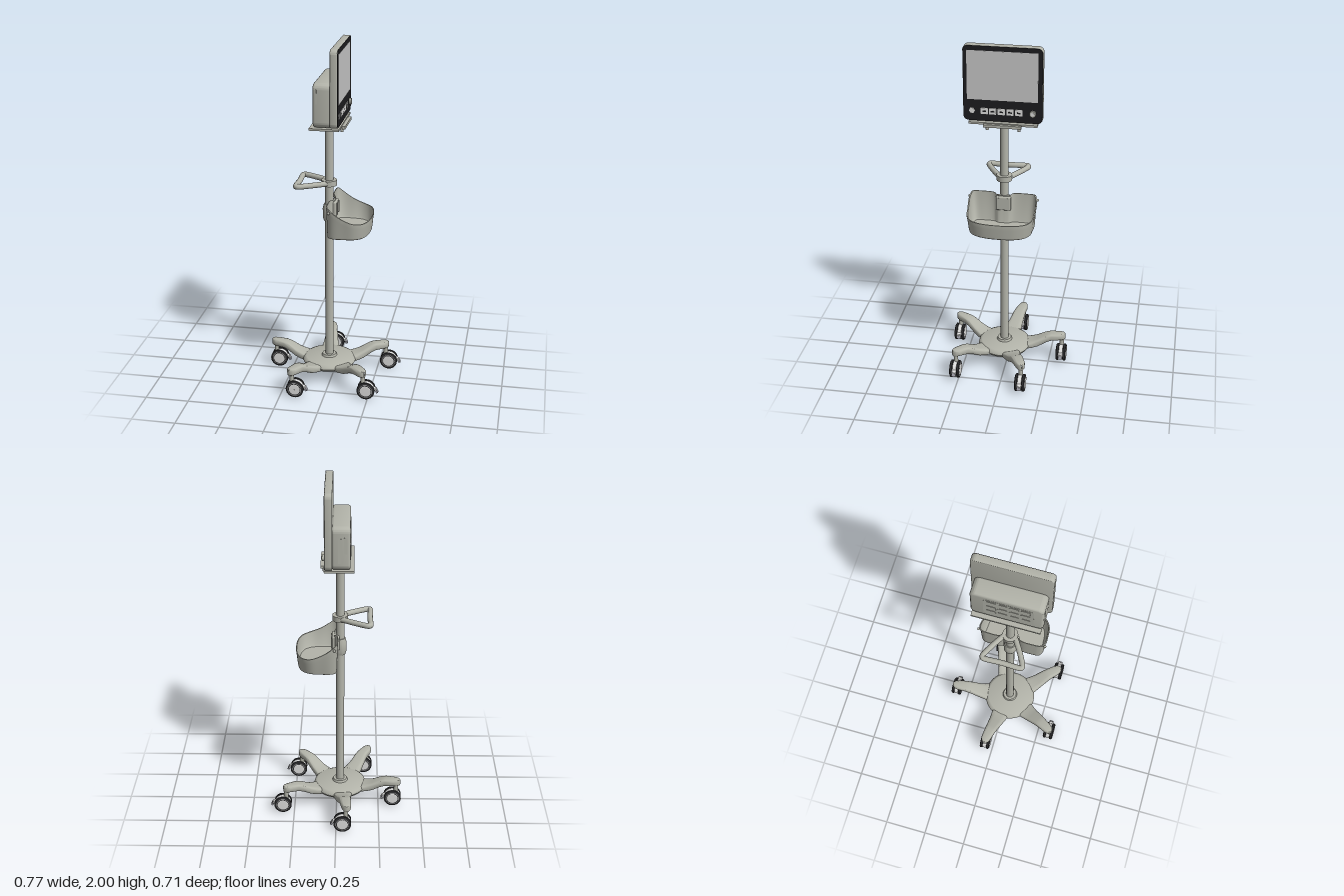
import * as THREE from 'three';
import { toCreasedNormals } from 'three/addons/utils/BufferGeometryUtils.js';
import { RoundedBoxGeometry } from 'three/addons/geometries/RoundedBoxGeometry.js';

const paint = (name, color) => Object.assign(new THREE.MeshStandardMaterial({ color }), { name });
const CX = -0.02, CZ = 0.02; // pole axis

export function createModel() {
  const body = paint('warm grey plastic', 0xb3b4aa);
  const black = paint('black bezel', 0x1d1d1f);
  const glass = paint('silver screen', 0xc8c8c8);
  const rubber = paint('dark rubber', 0x2c2c2e);
  const light = paint('light grey', 0xdededd);
  const lilac = paint('lilac grey', 0x9a9aa3);
  const root = new THREE.Group();

  const add = (name, geo, mat, x = 0, y = 0, z = 0, parent = root) => {
    const m = new THREE.Mesh(geo, mat);
    m.name = name;
    m.position.set(x, y, z);
    parent.add(m);
    return m;
  };
  const box = (name, w, h, d, mat, x, y, z, parent) =>
    add(name, new THREE.BoxGeometry(w, h, d), mat, x, y, z, parent);
  const cyl = (name, r1, r2, h, mat, x, y, z, parent) =>
    add(name, new THREE.CylinderGeometry(r1, r2, h, 32), mat, x, y, z, parent);
  const discX = (name, r, h, mat, x, y, z, seg = 24) =>
    add(name, new THREE.CylinderGeometry(r, r, h, seg).rotateZ(-Math.PI / 2), mat, x, y, z);
  const lathe = (pts, crease) =>
    toCreasedNormals(new THREE.LatheGeometry(pts.map(p => new THREE.Vector2(...p)), 40), crease);

  // Rounded plate facing +x, spanning z and y, starting at x with thickness t
  const plate = (name, w, h, r, t, mat, x, y, z, bevel = 0) => {
    const a = w / 2 - bevel, b = h / 2 - bevel, s = new THREE.Shape();
    s.moveTo(-a + r, -b).lineTo(a - r, -b).absarc(a - r, -b + r, r, -Math.PI / 2, 0)
      .lineTo(a, b - r).absarc(a - r, b - r, r, 0, Math.PI / 2)
      .lineTo(-a + r, b).absarc(-a + r, b - r, r, Math.PI / 2, Math.PI)
      .lineTo(-a, -b + r).absarc(-a + r, -b + r, r, Math.PI, Math.PI * 1.5);
    const g = new THREE.ExtrudeGeometry(s, {
      depth: t - 2 * bevel, bevelEnabled: bevel > 0, bevelSize: bevel,
      bevelThickness: bevel, bevelSegments: 3, curveSegments: 8,
    });
    g.translate(0, 0, bevel).rotateY(Math.PI / 2);
    return add(name, toCreasedNormals(g, 0.6), mat, x, y, z);
  };

  // Skin over a stack of equal-length closed rings
  const loft = (rings, crease = 0.7) => {
    const n = rings[0].length, pos = rings.flat().flatMap(p => [p.x, p.y, p.z]), idx = [];
    for (let k = 0; k < rings.length - 1; k++) for (let i = 0; i < n; i++) {
      const a = k * n + i, b = k * n + (i + 1) % n;
      idx.push(a, a + n, b, b, a + n, b + n);
    }
    const g = new THREE.BufferGeometry();
    g.setAttribute('position', new THREE.Float32BufferAttribute(pos, 3));
    g.setIndex(idx);
    return toCreasedNormals(g, crease);
  };

  // Pole with flared head and base collar
  cyl('pole', 0.024, 0.024, 1.42, body, CX, 0.83, CZ);
  cyl('poleHead', 0.048, 0.025, 0.03, body, CX, 1.527, CZ);
  cyl('poleCollar', 0.04, 0.046, 0.016, body, CX, 0.13, CZ);

  // Base hub
  add('hub', lathe([[0.001, 0.078], [0.13, 0.078], [0.147, 0.086], [0.155, 0.1], [0.15, 0.115], [0.135, 0.123],
    [0.001, 0.126]], 0.8), body, CX, 0, CZ);

  // Legs: radius, half width, bottom, top
  const sections = [[0.08, 0.06, 0.08, 0.112], [0.13, 0.056, 0.08, 0.118], [0.165, 0.048, 0.082, 0.126],
    [0.2, 0.042, 0.09, 0.138], [0.25, 0.036, 0.116, 0.163], [0.28, 0.033, 0.127, 0.171], [0.335, 0.028, 0.13, 0.172],
    [0.353, 0.022, 0.13, 0.172], [0.364, 0.012, 0.132, 0.17], [0.368, 0.0005, 0.135, 0.167]];
  const soft = v => Math.sign(v) * Math.abs(v) ** 0.5;
  const legGeo = loft(sections.map(([r, w, lo, hi]) => Array.from({ length: 28 }, (_, i) => {
    const a = i / 28 * Math.PI * 2;
    return new THREE.Vector3(r, (lo + hi) / 2 + (hi - lo) / 2 * soft(Math.cos(a)), -w * soft(Math.sin(a)));
  })));

  // Twin-wheel casters, all trailing toward +x
  const tyre = lathe([[0.03, -0.009], [0.045, -0.009], [0.051, -0.005], [0.051, 0.005], [0.045, 0.009], [0.03, 0.009]], 0.9)
    .rotateX(Math.PI / 2);
  const cap = lathe([[0.042, -0.0085], [0.042, 0.009], [0.038, 0.011], [0.035, 0.0095], [0.033, 0.0095], [0.03, 0.011],
    [0.0005, 0.0115]], 0.4).rotateX(Math.PI / 2);
  const hood = new THREE.CylinderGeometry(0.047, 0.047, 0.022, 32).rotateX(Math.PI / 2);
  for (let i = 0; i < 5; i++) {
    const a = THREE.MathUtils.degToRad(-25 + 72 * i);
    add('leg', legGeo, body, CX, 0, CZ).rotation.y = -a;
    const c = new THREE.Group();
    c.name = 'caster';
    c.position.set(CX + 0.345 * Math.cos(a) + 0.024, 0.051, CZ + 0.345 * Math.sin(a) - 0.001);
    root.add(c);
    for (const s of [-1, 1]) {
      add('tyre', tyre, rubber, 0, 0, s * 0.0205, c);
      add('wheelCap', cap, light, 0, 0, s * 0.0195, c).rotation.y = s > 0 ? 0 : Math.PI;
    }
    add('casterBody', hood, light, 0, 0, 0, c);
    cyl('casterStem', 0.013, 0.013, 0.05, body, -0.02, 0.062, 0, c);
    add('brakeArm', new RoundedBoxGeometry(0.03, 0.012, 0.028, 2, 0.004), light, 0.048, 0.01, 0, c).rotation.z = -0.4;
    box('brakePedal', 0.011, 0.026, 0.024, lilac, 0.06, -0.001, 0, c).rotation.z = 0.5;
  }

  // Triangular push handle
  const H = 1.202;
  const handlePath = new THREE.CatmullRomCurve3([[-0.03, -0.012], [-0.09, -0.05], [-0.16, -0.088], [-0.183, -0.093],
    [-0.191, -0.076], [-0.188, 0.02], [-0.191, 0.116], [-0.183, 0.133], [-0.16, 0.128], [-0.09, 0.09], [-0.03, 0.052]]
    .map(([x, z]) => new THREE.Vector3(x, H, z)), false, 'catmullrom', 0.5);
  add('handle', new THREE.TubeGeometry(handlePath, 90, 0.0155, 14), body);
  cyl('handleCollar', 0.044, 0.044, 0.032, body, CX, H, CZ);

  // Basket: plan outline, sloping rim and a thin inner wall
  const half = [[0.012, 0], [0.01, 0.035], [-0.006, 0.06], [-0.01, 0.13], [-0.004, 0.178], [0.025, 0.194], [0.09, 0.193],
    [0.15, 0.186], [0.195, 0.157], [0.22, 0.105], [0.229, 0.05]];
  const outline = [[0.231, 0], ...half.slice(1).reverse(), half[0], ...half.slice(1).map(([x, z]) => [x, -z])];
  const plan = new THREE.CatmullRomCurve3(outline.map(([x, z]) => new THREE.Vector3(x, 0, z)), true)
    .getPoints(96).slice(0, 96);
  const rim = x => 1.02 + 0.092 * (1 - THREE.MathUtils.clamp(x / 0.2, 0, 1)) ** 2;
  const ring = (s, f) => plan.map(p => new THREE.Vector3(0.1 + (p.x - 0.1) * s, f(p.x), 0.02 + p.z * s));
  const flat = y => () => y;
  add('basket', loft([ring(0.001, flat(0.925)), ring(0.88, flat(0.925)), ring(0.925, flat(0.93)), ring(0.94, flat(0.942)),
    ring(0.975, x => rim(x) - 0.03), ring(1, x => rim(x) - 0.008), ring(1, rim), ring(0.965, rim),
    ring(0.9, flat(0.945)), ring(0.86, flat(0.934)), ring(0.001, flat(0.934))]), body);
  for (const s of [-1, 1]) add('basketStud', new THREE.SphereGeometry(0.008, 16, 12), body, 0.01, 1.085, CZ + s * 0.194);

  // Basket clamp around the pole
  add('basketClamp', lathe([[0.024, -0.05], [0.03, -0.05], [0.036, -0.03], [0.037, 0.02], [0.03, 0.05], [0.024, 0.05]], 0.5),
    body, CX, 1.025, CZ);
  add('clampBlock', new RoundedBoxGeometry(0.045, 0.085, 0.085, 3, 0.008), body, 0.005, 1.055, CZ);
  for (const s of [-1, 1]) box('clampRib', 0.008, 0.07, 0.006, body, 0.029, 1.055, CZ + s * 0.025);

  // Mounting tray with front lip and thumb screws
  box('tray', 0.165, 0.012, 0.38, body, -0.016, 1.556, 0.015);
  box('trayMount', 0.1, 0.012, 0.15, body, CX, 1.546, CZ);
  box('trayLip', 0.016, 0.016, 0.21, body, 0.079, 1.55, 0.015);
  box('trayTongue', 0.06, 0.006, 0.2, body, 0.045, 1.553, 0.015);
  for (const z of [0.1, -0.075]) cyl('trayScrew', 0.009, 0.009, 0.024, body, 0.066, 1.535, z);

  // Monitor housing, bezel and screen
  plate('monitor', 0.436, 0.43, 0.024, 0.042, body, 0.021, 1.785, 0.015, 0.005);
  plate('bezel', 0.432, 0.426, 0.028, 0.0015, black, 0.0625, 1.785, 0.015);
  plate('screen', 0.388, 0.278, 0.002, 0.0015, glass, 0.064, 1.833, 0.017);

  // Control strip: five buttons between two knobs
  for (const z of [0.116, 0.07, 0.022, -0.026, -0.074]) {
    plate('button', 0.04, 0.036, 0.004, 0.003, light, 0.064, 1.63, z);
    box('buttonIcon', 0.001, 0.008, 0.02, black, 0.0675, 1.628, z);
  }
  discX('leftKey', 0.017, 0.003, light, 0.0655, 1.63, 0.184, 6);
  discX('rightKnob', 0.018, 0.014, body, 0.07, 1.63, -0.15);
  discX('rightKnobFace', 0.01, 0.002, light, 0.0775, 1.63, -0.15);

  // Rear electronics case with socket panel and side connectors
  plate('rearCase', 0.396, 0.246, 0.02, 0.103, body, -0.077, 1.688, 0.015, 0.014);
  plate('rearPanel', 0.27, 0.18, 0.02, 0.003, body, -0.078, 1.685, 0.025);
  for (let r = 0; r < 3; r++) for (let c = 0; c < 4; c++)
    plate('rearSocket', 0.05, 0.042, 0.008, 0.003, body, -0.08, 1.63 + r * 0.055, -0.067 + c * 0.061);
  for (const [x, y, h] of [[-0.05, 1.71, 0.09], [-0.02, 1.68, 0.14]]) box('sideSocket', 0.018, h, 0.004, body, x, y, -0.183);
  box('sideVent', 0.004, 0.08, 0.004, body, -0.055, 1.74, 0.213);
  return root;
}
